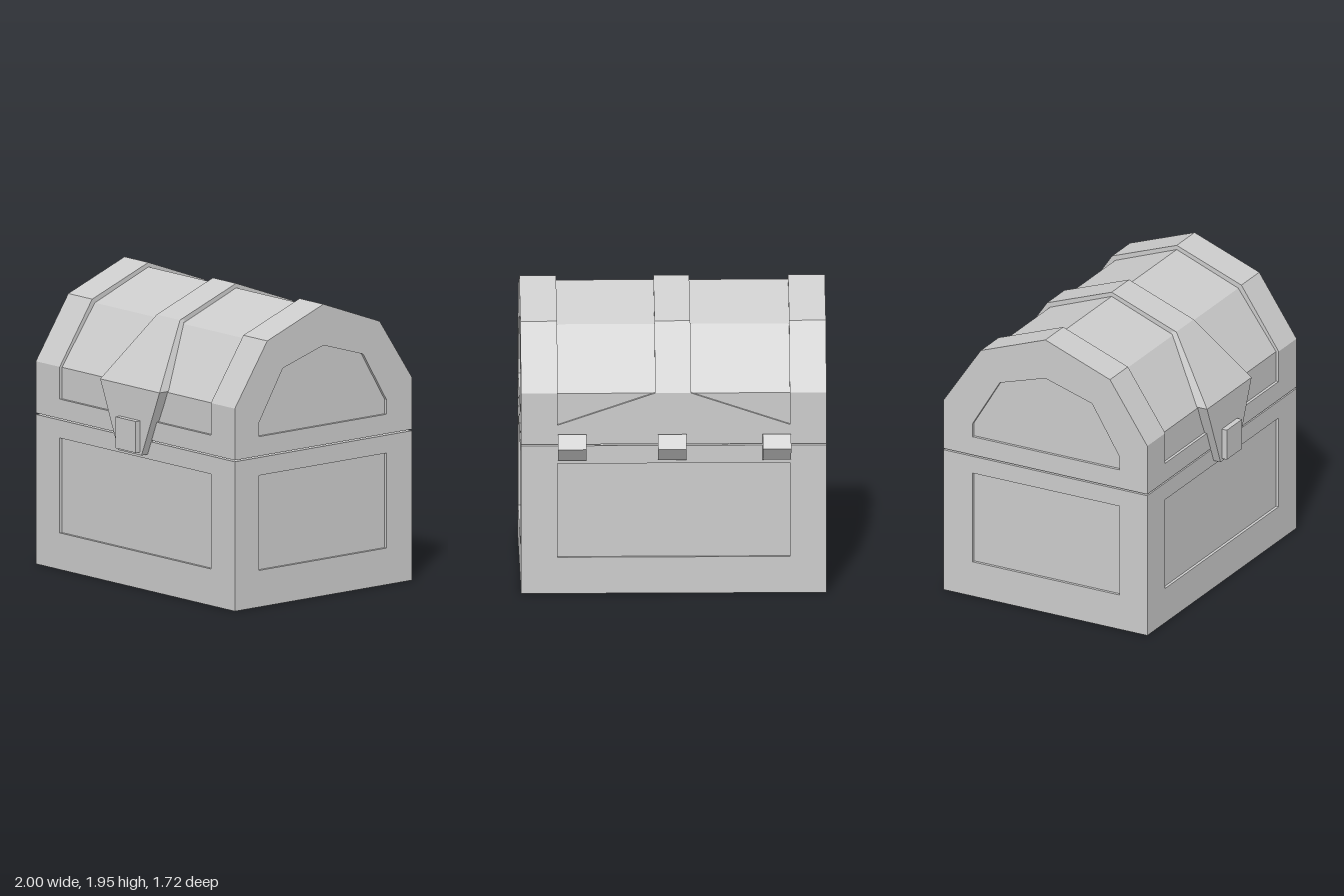
import * as THREE from 'three';

const material = new THREE.MeshStandardMaterial({ color: 0xcccccc, flatShading: true });

// Lid outlines and end panel as [z, y]
const LID = [[0.77, 1.01], [0.77, 1.355], [0.49, 1.77], [0.005, 1.95], [-0.48, 1.77], [-0.76, 1.355], [-0.76, 1.01]];
const LID_CORE = [[0.75, 1.01], [0.75, 1.35], [0.467, 1.743], [0.005, 1.92], [-0.457, 1.743], [-0.74, 1.35], [-0.74, 1.01]];
const LID_PANEL = [[0.56, 1.14], [0.56, 1.235], [0.355, 1.57], [0.005, 1.675], [-0.337, 1.57], [-0.54, 1.235], [-0.54, 1.14]];
const HINGE = [[-0.69, 1.012], [-0.755, 1.012], [-0.755, 1.07], [-0.795, 1.085], [-0.86, 1], [-0.795, 0.91], [-0.755, 0.925], [-0.755, 0.998], [-0.69, 0.998]];

const rect = (a0, b0, a1, b1) => [[a0, b0], [a1, b0], [a1, b1], [a0, b1]];

function prism(points, depth, hole) {
  const shape = new THREE.Shape(points.map(p => new THREE.Vector2(...p)));
  if (hole) shape.holes.push(new THREE.Path(hole.map(p => new THREE.Vector2(...p))));
  return new THREE.ExtrudeGeometry(shape, { depth, bevelEnabled: false });
}

// Extrude a [z, y] outline from x0 to x1
const alongX = (points, x0, x1, hole) =>
  prism(points, x1 - x0, hole).rotateY(-Math.PI / 2).translate(x1, 0, 0);

// Extrude an [x, y] outline from z0 to z1
const alongZ = (points, z0, z1, hole) => prism(points, z1 - z0, hole).translate(0, 0, z0);

// Extrude an [x, z] outline from y0 to y1
const alongY = (points, y0, y1, hole) =>
  prism(points, y1 - y0, hole).rotateX(Math.PI / 2).translate(0, y1, 0);

const box = (x0, x1, y0, y1, z0, z1) =>
  new THREE.BoxGeometry(x1 - x0, y1 - y0, z1 - z0).translate((x0 + x1) / 2, (y0 + y1) / 2, (z0 + z1) / 2);

// Six-sided strap: rows of [half width, y, front z, back z], top to bottom
function strapGeometry(rows, cx) {
  const pos = [];
  const index = [];
  for (const [w, y, zf, zb] of rows) {
    pos.push(cx - w, y, zf, cx + w, y, zf, cx + w, y, zb, cx - w, y, zb);
  }
  for (let r = 0; r < rows.length - 1; r++) {
    for (let i = 0; i < 4; i++) {
      const a = r * 4 + i, b = r * 4 + (i + 1) % 4;
      index.push(a, a + 4, b + 4, a, b + 4, b);
    }
  }
  const e = (rows.length - 1) * 4;
  index.push(0, 1, 2, 0, 2, 3, e, e + 2, e + 1, e, e + 3, e + 2);
  const g = new THREE.BufferGeometry();
  g.setAttribute('position', new THREE.Float32BufferAttribute(pos, 3));
  g.setIndex(index);
  const flat = g.toNonIndexed();
  flat.computeVertexNormals();
  return flat;
}

export function createModel() {
  const chest = new THREE.Group();
  chest.name = 'chest';
  const body = new THREE.Group();
  body.name = 'body';
  const lid = new THREE.Group();
  lid.name = 'lid';
  const latch = new THREE.Group();
  latch.name = 'latch';
  chest.add(body, lid, latch);
  const add = (parent, name, geometry) => {
    const mesh = new THREE.Mesh(geometry, material);
    mesh.name = name;
    parent.add(mesh);
  };

  // Body: recessed core with raised frames around each panel
  add(body, 'bodyCore', box(-0.98, 0.98, 0.02, 1, -0.74, 0.75));
  const frontHole = rect(-0.76, 0.245, 0.76, 0.88);
  const sideHole = rect(-0.54, 0.245, 0.56, 0.88);
  add(body, 'frontFrame', alongZ(rect(-1, 0, 1, 1), 0.75, 0.77, frontHole));
  add(body, 'backFrame', alongZ(rect(-1, 0, 1, 1), -0.76, -0.74, frontHole));
  add(body, 'leftFrame', alongX(rect(-0.74, 0, 0.75, 1), 0.98, 1, sideHole));
  add(body, 'rightFrame', alongX(rect(-0.74, 0, 0.75, 1), -1, -0.98, sideHole));
  add(body, 'bottomFrame', alongY(rect(-0.98, -0.74, 0.98, 0.75), 0, 0.02, rect(-0.76, -0.54, 0.76, 0.56)));

  // Lid: recessed core, raised bands and end frames
  add(lid, 'lidCore', alongX(LID_CORE, -0.97, 0.97));
  add(lid, 'leftBand', alongX(LID, 0.76, 0.98));
  add(lid, 'rightBand', alongX(LID, -0.98, -0.76));
  add(lid, 'centreBand', alongX(LID, -0.112, 0.122));
  add(lid, 'leftEndFrame', alongX(LID, 0.98, 1, LID_PANEL));
  add(lid, 'rightEndFrame', alongX(LID, -1, -0.98, LID_PANEL));
  add(lid, 'frontSill', box(-0.76, 0.76, 1.01, 1.14, 0.74, 0.77));

  // Back sills rise towards the centre band
  for (const [side, inner] of [[1, 0.122], [-1, 0.112]]) {
    const outline = [[0.76, 1.01], [0.76, 1.14], [inner, 1.355], [inner, 1.01]].map(([x, y]) => [x * side, y]);
    add(lid, 'backSill', alongZ(outline, -0.76, -0.735));
  }

  // Front latch
  add(latch, 'strap', strapGeometry([
    [0.117, 1.77, 0.49, 0.45],
    [0.298, 1.357, 0.822, 0.745],
    [0.117, 0.91, 0.822, 0.765],
  ], 0.006));
  add(latch, 'button', box(-0.095, 0.109, 0.93, 1.14, 0.8, 0.86));
  add(latch, 'tongue', box(-0.1, 0.11, 0.995, 1.015, 0.62, 0.78));

  // Hinges along the back
  for (const x of [-0.675, 0.01, 0.665]) {
    add(chest, 'hinge', alongX(HINGE, x - 0.093, x + 0.093));
  }
  return chest;
}
